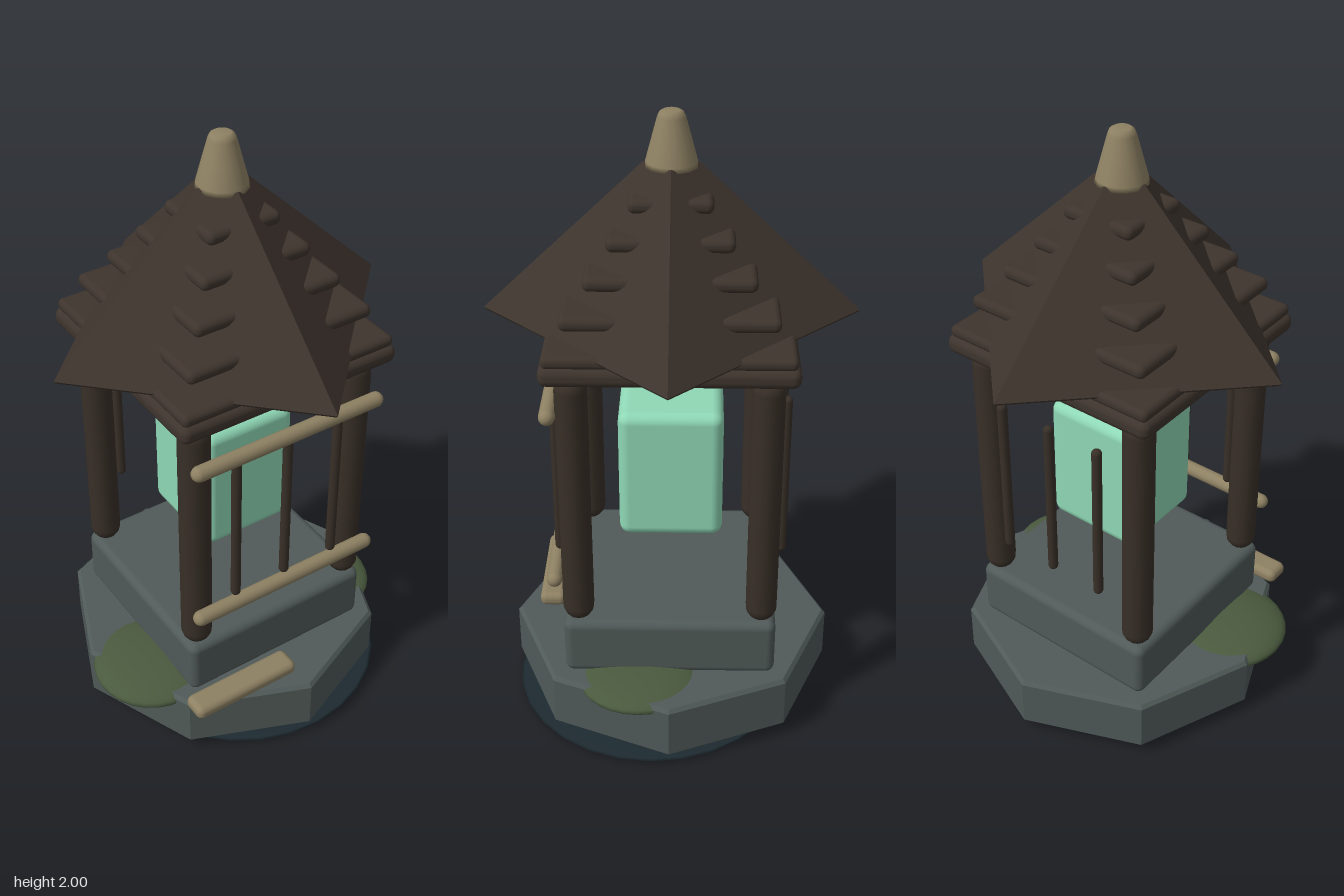
import * as THREE from 'three';
import { RoundedBoxGeometry } from 'three/addons/geometries/RoundedBoxGeometry.js';

const mat = (name, color) => {
  const m = new THREE.MeshStandardMaterial({ color });
  m.name = name;
  return m;
};

export function createModel() {
  const root = new THREE.Group();
  root.name = 'stoneLantern';
  const stone = mat('stone', 0x505a58);
  const wood = mat('darkWood', 0x3e342d);
  const post = mat('postWood', 0x382f27);
  const tan = mat('paleWood', 0x8e8163);
  const glow = mat('mintGlow', 0x8fd8b6);
  const moss = mat('moss', 0x4a5a3e);
  const pool = mat('darkPool', 0x1d2a30);

  const add = (name, geo, material, x = 0, y = 0, z = 0) => {
    const m = new THREE.Mesh(geo, material);
    m.name = name;
    m.position.set(x, y, z);
    root.add(m);
    return m;
  };
  const box = (name, w, h, d, r, material, x, y, z) =>
    add(name, new RoundedBoxGeometry(w, h, d, 3, r), material, x, y, z);
  const blob = (name, material, x, y, z, rx, ry, rz) =>
    add(name, new THREE.SphereGeometry(1, 28, 16), material, x, y, z).scale.set(rx, ry, rz);
  // Rod with rounded ends, total length given
  const rod = (r, length) => new THREE.CapsuleGeometry(r, length - 2 * r, 6, 14);
  // Faceted solid turned from [radius, height] pairs, corners on the axes
  const faceted = (points, sides) => {
    const g = new THREE.LatheGeometry(points.map(p => new THREE.Vector2(...p)), sides).toNonIndexed();
    g.computeVertexNormals();
    return g;
  };

  // Ground disc and stone base
  blob('groundDisc', pool, 0.045, 0.01, 0.06, 0.475, 0.01, 0.465);
  add('octagonBase', faceted([[0, 0.04], [0.52, 0.04], [0.532, 0.052], [0.532, 0.218], [0.52, 0.23], [0, 0.23]], 8), stone);
  box('plinth', 0.68, 0.2, 0.68, 0.028, stone, 0, 0.325, 0);

  // Moss patches and loose plank
  blob('mossLeftSide', moss, 0.33, 0.21, 0.1, 0.19, 0.042, 0.2);
  blob('mossRightSide', moss, -0.37, 0.205, 0.13, 0.195, 0.05, 0.2);
  box('plank', 0.385, 0.05, 0.088, 0.022, tan, -0.197, 0.25, 0.413);

  // Corner posts
  for (const x of [-0.292, 0.292])
    for (const z of [-0.292, 0.292])
      add('cornerPost', rod(0.05, 0.88), post, x, 0.862, z);

  // Glowing core
  box('lampCore', 0.33, 0.445, 0.33, 0.035, glow, 0, 0.865, 0);

  // Lattice slats front and back, with rails at the front only
  for (const x of [-0.185, 0, 0.185])
    for (const z of [-0.355, 0.355])
      add('latticeSlat', rod(0.016, 0.565), post, x, 0.893, z);
  for (const y of [0.585, 1.17])
    add('frontRail', rod(0.025, 0.69), tan, 0, y, 0.363).rotation.z = Math.PI / 2;

  // Eave plates
  box('lowerEave', 0.76, 0.062, 0.76, 0.026, wood, 0, 1.326, 0);
  box('upperEave', 0.74, 0.04, 0.74, 0.018, wood, 0, 1.37, 0);

  // Four-sided roof, turned so its corners face front, back and sides
  add('roof', faceted([[0, 1.37], [0.57, 1.37], [0.577, 1.378], [0.085, 1.845], [0.06, 1.856], [0, 1.856]], 4), wood);

  // Stacked tiers whose corners break through the roof
  [0.32, 0.253, 0.188, 0.125].forEach((half, i) =>
    box('roofTier', half * 2, 0.044, half * 2, 0.02, wood, 0, 1.467 + i * 0.094, 0));

  // Finial
  const finial = [[0, 1.835], [0.08, 1.835], [0.077, 1.85], [0.042, 1.98], [0.036, 1.994], [0.026, 2], [0, 2]];
  add('finial', new THREE.LatheGeometry(finial.map(p => new THREE.Vector2(...p)), 16), tan);

  return root;
}
